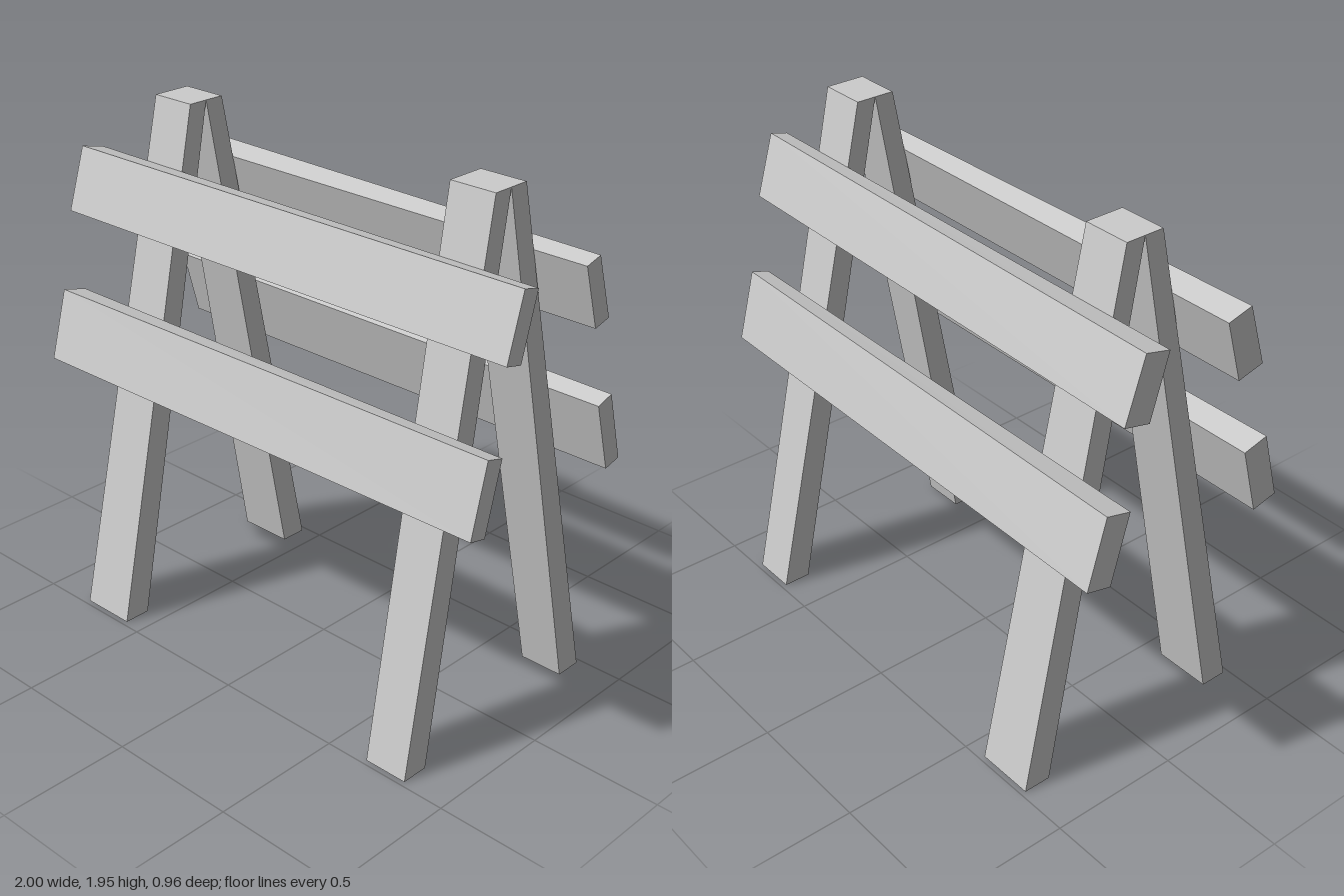
import * as THREE from 'three';

const material = new THREE.MeshStandardMaterial({ color: 0xcccccc, flatShading: true });

// Timber joining two four-cornered ends; each end runs anticlockwise seen from beyond the second end.
function timber(name, start, end, side) {
  const place = (ring) => {
    const r = ring.map(([x, y, z]) => [x, y, z * side]);
    return side < 0 ? r.reverse() : r;
  };
  const a = place(start), b = place(end);
  const pos = [];
  const quad = (p, q, r, s) => pos.push(...p, ...q, ...r, ...p, ...r, ...s);
  for (let i = 0; i < 4; i++) {
    const j = (i + 1) % 4;
    quad(a[i], a[j], b[j], b[i]);
  }
  quad(...b);
  quad(a[3], a[2], a[1], a[0]);
  const g = new THREE.BufferGeometry();
  g.setAttribute('position', new THREE.Float32BufferAttribute(pos, 3));
  g.computeVertexNormals();
  const mesh = new THREE.Mesh(g, material);
  mesh.name = name;
  return mesh;
}

// Level cut across a leg
const legEnd = (y, x0, x1, zIn, zOut) =>
  [[x0, y, zOut], [x1, y, zOut], [x1, y, zIn], [x0, y, zIn]];

// Upright cut across a tilted board, from [y, z] corners
const boardEnd = (x, corners) => corners.map(([y, z]) => [x, y, z]);

export function createModel() {
  const model = new THREE.Group();
  model.name = 'sawhorseBarrier';

  for (const side of [1, -1]) {
    const half = new THREE.Group();
    half.name = side > 0 ? 'frontHalf' : 'backHalf';

    // Splayed legs, meeting at the top
    half.add(timber('rightLeg',
      legEnd(0, -0.8, -0.58, 0.375, 0.48), legEnd(1.945, -0.75, -0.57, 0, 0.075), side));
    half.add(timber('leftLeg',
      legEnd(0, 0.655, 0.825, 0.375, 0.48), legEnd(1.945, 0.605, 0.785, 0, 0.075), side));

    // Cross boards, slightly thicker at the right end
    half.add(timber('upperBoard',
      boardEnd(-1, [[1.735, 0.22], [1.505, 0.293], [1.48, 0.19], [1.71, 0.122]]),
      boardEnd(0.997, [[1.728, 0.19], [1.497, 0.26], [1.48, 0.19], [1.71, 0.122]]), side));
    half.add(timber('lowerBoard',
      boardEnd(-1, [[1.21, 0.347], [0.953, 0.418], [0.93, 0.32], [1.185, 0.25]]),
      boardEnd(0.99, [[1.205, 0.32], [0.946, 0.39], [0.93, 0.32], [1.185, 0.25]]), side));

    model.add(half);
  }
  return model;
}
